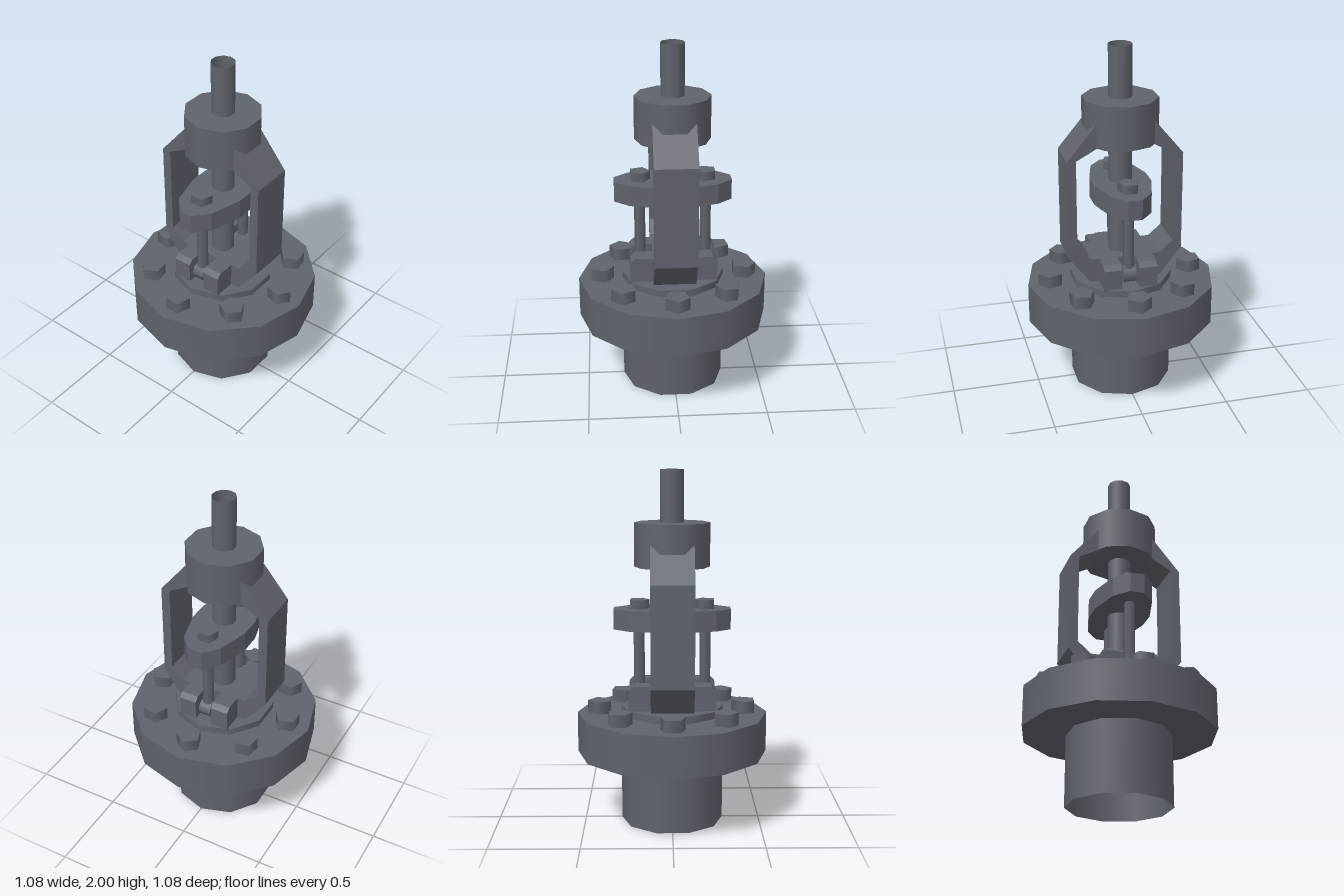
import * as THREE from 'three';

export function createModel() {
  const model = new THREE.Group();
  model.name = 'valve';
  const steel = new THREE.MeshStandardMaterial({ color: 0x5f636c, side: THREE.DoubleSide });
  steel.name = 'dark steel';

  const add = (name, geometry, parent = model) => {
    const mesh = new THREE.Mesh(geometry, steel);
    mesh.name = name;
    parent.add(mesh);
    return mesh;
  };

  // Upright prism from y0 to y1, one corner at the given angle from +x towards +z
  const prism = (name, r, y0, y1, sides, { x = 0, z = 0, angle = 0, open = false, parent = model } = {}) => {
    const g = new THREE.CylinderGeometry(r, r, y1 - y0, sides, 1, open, Math.PI / 2 - angle);
    g.translate(x, (y0 + y1) / 2, z);
    return add(name, g, parent);
  };

  const extrude = (points, depth) => new THREE.ExtrudeGeometry(
    new THREE.Shape(points.map(([a, b]) => new THREE.Vector2(a, b))),
    { depth, bevelEnabled: false });

  // Body
  prism('inletPipe', 0.29, 0, 0.4, 10, { open: true });
  prism('flange', 0.54, 0.4, 0.63, 12);
  prism('bonnetRing', 0.29, 0.63, 0.67, 10);

  // Ring of flange bolts
  const turns = [0, 1, 2, -1];
  for (let i = 0; i < 8; i++) {
    const a = i * Math.PI / 4;
    prism('flangeBolt', 0.071, 0.63, 0.7, 5, {
      x: 0.409 * Math.cos(a), z: 0.409 * Math.sin(a), angle: turns[i % 4] * Math.PI / 4,
    });
  }

  // Stem and top collar
  prism('stem', 0.066, 0.67, 2, 10, { open: true });
  prism('yokeCollar', 0.212, 1.465, 1.71, 10);

  // Yoke: base block and two arms
  add('yokeBase', new THREE.BoxGeometry(0.24, 0.14, 0.4).translate(0, 0.74, 0));
  const armProfile = [
    [0.19, 0.66], [0.21, 0.68], [0.326, 0.83], [0.326, 1.4], [0.11, 1.66],
    [0.11, 1.49], [0.275, 1.4], [0.275, 0.875], [0.19, 0.802],
  ];
  for (const side of [0, 1]) {
    const g = extrude(armProfile, 0.24);
    g.translate(0, 0, -0.12).rotateY(-Math.PI / 2 + side * Math.PI);
    add('yokeArm', g);
  }

  // Gland plate, an elongated polygon
  const quarter = [[0.328, 0.04], [0.245, 0.113], [0.14, 0.142], [0.06, 0.163]];
  const outline = [
    ...quarter,
    ...quarter.map(([x, z]) => [-x, z]).reverse(),
    ...quarter.map(([x, z]) => [-x, -z]),
    ...quarter.map(([x, z]) => [x, -z]).reverse(),
  ];
  add('glandPlate', extrude(outline, 0.115).rotateX(-Math.PI / 2).translate(0, 1.115, 0));

  // Gland bolts with lugs and eye on both sides
  const lugProfile = [[0.1, 0.66], [0.245, 0.66], [0.245, 0.785], [0.218, 0.81], [0.1, 0.81]];
  for (const side of [0, 1]) {
    const group = new THREE.Group();
    group.name = side ? 'rightGlandBolt' : 'leftGlandBolt';
    group.rotation.y = side * Math.PI;
    model.add(group);
    prism('rod', 0.031, 0.7, 1.24, 6, { x: 0.186, parent: group });
    prism('boltHead', 0.06, 1.23, 1.28, 5, { x: 0.186, angle: Math.PI, parent: group });
    add('rodEye', new THREE.CylinderGeometry(0.05, 0.05, 0.07, 8)
      .rotateX(Math.PI / 2).translate(0.186, 0.735, 0), group);
    for (const z of [-0.152, 0.05]) {
      add('lug', extrude(lugProfile, 0.102).translate(0, 0, z), group);
    }
  }
  return model;
}
